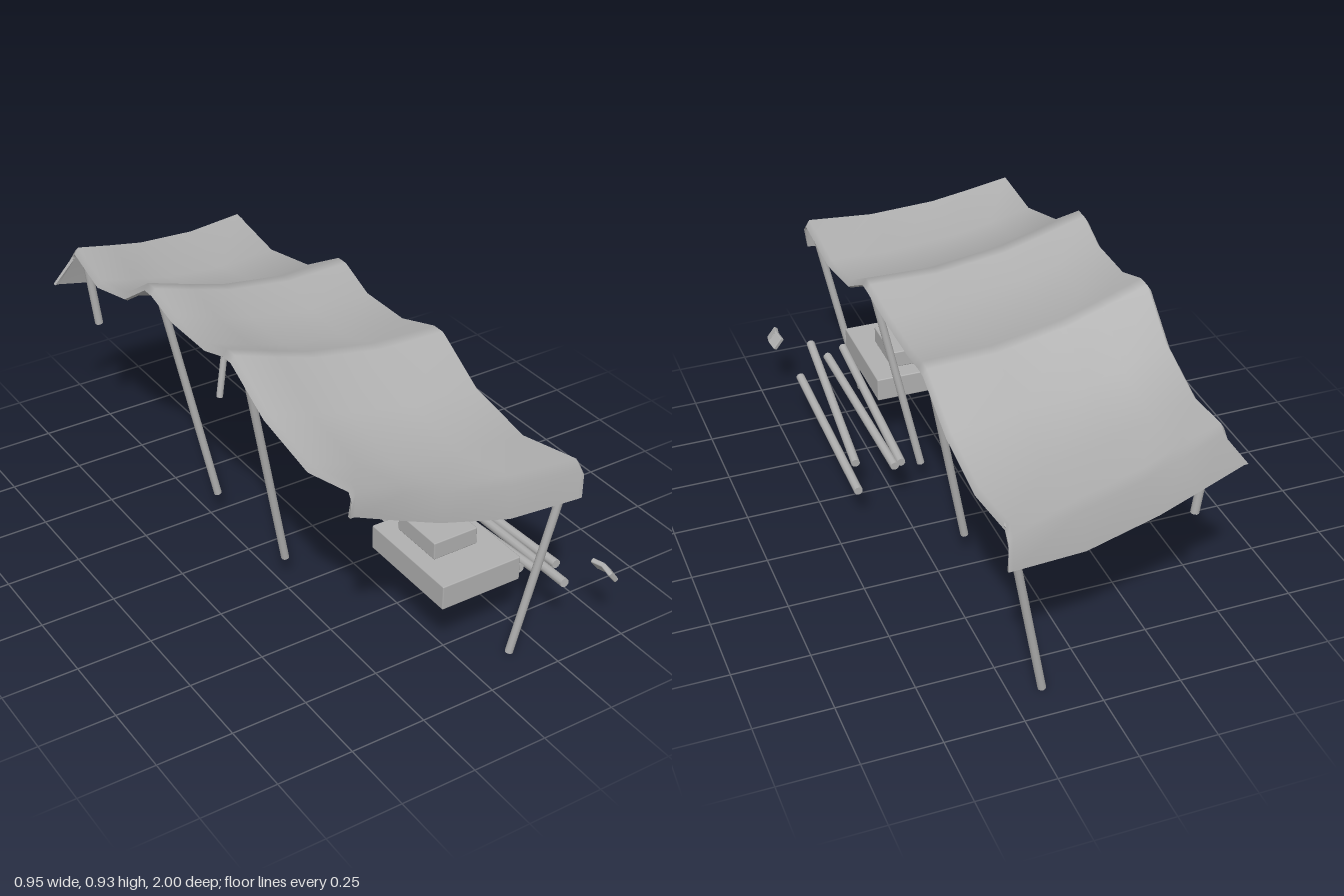
import * as THREE from 'three';
import { mergeGeometries } from 'three/addons/utils/BufferGeometryUtils.js';
import { RoundedBoxGeometry } from 'three/addons/geometries/RoundedBoxGeometry.js';

const grey = new THREE.MeshStandardMaterial({ color: 0xb0b0b0 });
grey.name = 'plainGrey';
const greySheet = grey;
greySheet.side = THREE.DoubleSide;

// Rows of the awning from front to back: zLow/zHigh edges, x range, height of the low edge, rise to the high edge
const half = [
  [0.65, 0.72, -0.415, 0.285, 0.655, 0.105],
  [0.43, 0.48, -0.425, 0.285, 0.70, 0.12],
  [0.265, 0.295, -0.435, 0.29, 0.805, 0.125],
  [0.22, 0.25, -0.435, 0.29, 0.805, 0.125],
  [0.1, 0.1, -0.43, 0.275, 0.765, 0.125],
];
const mirrored = half.map(([a, b, ...r]) => [-a, -b, ...r]).reverse();
const rows = [
  [0.845, 0.985, -0.40, 0.285, 0.58, 0.11, 1],
  [0.85, 0.975, -0.40, 0.295, 0.672, 0.10],
  [0.835, 0.95, -0.40, 0.295, 0.697, 0.098],
  ...half, ...mirrored,
  [-0.845, -0.955, -0.40, 0.285, 0.697, 0.098],
  [-0.87, -0.98, -0.40, 0.285, 0.672, 0.10],
  [-0.89, -0.995, -0.465, 0.29, 0.56, 0.10, 1],
];

// Columns: fraction across, share of the rise, x and y shift of the rolled lips, sag on the hanging flaps
const cols = [
  [0, 1, -0.014, -0.022, 0], [0, 1, 0, 0, 0], [0.2, 0.62, 0, 0, -0.005], [0.375, 0.31, 0, 0, -0.01],
  [0.69, 0.01, 0, 0, -0.018], [1, 0, 0, 0, 0], [1, 0, 0.014, -0.022, 0],
];

function sheet(points, nr, nc, flip) {
  const g = new THREE.BufferGeometry().setFromPoints(points);
  const index = [];
  for (let i = 0; i < nr - 1; i++) {
    for (let j = 0; j < nc - 1; j++) {
      const a = i * nc + j, b = a + 1, c = b + nc, d = a + nc;
      index.push(...(flip ? [a, c, b, a, d, c] : [a, b, c, a, c, d]));
    }
  }
  g.setIndex(index);
  g.computeVertexNormals();
  return g;
}

function awningGeometry() {
  const nr = rows.length, nc = cols.length, top = [];
  for (const [zl, zr, xl, xr, y, rise, flap] of rows) {
    for (const [f, share, dx, dy, sag] of cols) {
      top.push(new THREE.Vector3(
        xl + (xr - xl) * f + dx,
        y + rise * share + (flap ? sag : dy),
        zl + (zr - zl) * f));
    }
  }
  const upper = sheet(top, nr, nc, false);
  const n = upper.attributes.normal;
  const low = top.map((p, k) => p.clone().addScaledVector(new THREE.Vector3().fromBufferAttribute(n, k), -0.01));
  // Rim that closes the cloth thickness
  const loop = [];
  for (let j = 0; j < nc; j++) loop.push(j);
  for (let i = 1; i < nr; i++) loop.push(i * nc + nc - 1);
  for (let j = nc - 2; j >= 0; j--) loop.push((nr - 1) * nc + j);
  for (let i = nr - 2; i >= 0; i--) loop.push(i * nc);
  const rim = sheet([...loop.map(k => low[k]), ...loop.map(k => top[k])], 2, loop.length, false);
  return mergeGeometries([upper, sheet(low, nr, nc, true), rim]);
}

function rod(name, from, to, radius) {
  const a = new THREE.Vector3(...from), b = new THREE.Vector3(...to);
  const dir = b.clone().sub(a);
  const mesh = new THREE.Mesh(new THREE.CylinderGeometry(radius, radius, dir.length(), 10), grey);
  mesh.name = name;
  mesh.position.copy(a).add(b).multiplyScalar(0.5);
  mesh.quaternion.setFromUnitVectors(new THREE.Vector3(0, 1, 0), dir.normalize());
  return mesh;
}

function block(name, size, pos) {
  const mesh = new THREE.Mesh(new RoundedBoxGeometry(...size, 1, 0.004), grey);
  mesh.name = name;
  mesh.position.set(...pos);
  return mesh;
}

export function createModel() {
  const model = new THREE.Group();
  model.name = 'clothShelter';

  const awning = new THREE.Mesh(awningGeometry(), greySheet);
  awning.name = 'awning';
  model.add(awning);

  // Leaning poles, mirrored front and back
  for (const s of [1, -1]) {
    const end = s > 0 ? 'front' : 'back';
    model.add(
      rod(end + 'CornerPole', [0.15, 0.005, s * 0.885], [0.285, 0.685, s * 0.945], 0.013),
      rod(end + 'LowSidePole', [0.147, 0.1, s * 0.215], [0.28, 0.79, s * 0.28], 0.013),
      rod(end + 'HighSidePole', [-0.24, 0.1, s * 0.215], [-0.405, 0.905, s * 0.262], 0.013));
  }
  model.add(rod('shortPole', [-0.343, 0.49, -0.84], [-0.375, 0.77, -0.85], 0.014));

  // Stacked slabs
  model.add(
    block('lowerSlab', [0.287, 0.084, 0.375], [0.073, 0.262, 0.643]),
    block('upperSlab', [0.16, 0.06, 0.19], [0.065, 0.334, 0.61]));

  // Loose poles lying on the ground
  [
    [[0.325, 0.215, 0.915], [0.375, 0.15, 0.22]],
    [[0.405, 0.17, 0.78], [0.408, 0.135, 0.085]],
    [[0.293, 0.215, 0.81], [0.272, 0.185, 0.11]],
    [[0.234, 0.24, 0.81], [0.25, 0.195, 0.11]],
  ].forEach(([a, b], i) => model.add(rod('loosePole' + (i + 1), a, b, 0.015)));

  // Small bent scrap
  const scrap = new THREE.Group();
  scrap.name = 'bentScrap';
  for (const s of [1, -1]) {
    const piece = block('scrapHalf', [0.05, 0.016, 0.048], [0, 0, s * 0.021]);
    piece.rotation.x = s * 0.2;
    scrap.add(piece);
  }
  scrap.position.set(0.448, 0.243, 0.955);
  scrap.rotation.z = -0.9;
  model.add(scrap);

  return model;
}
